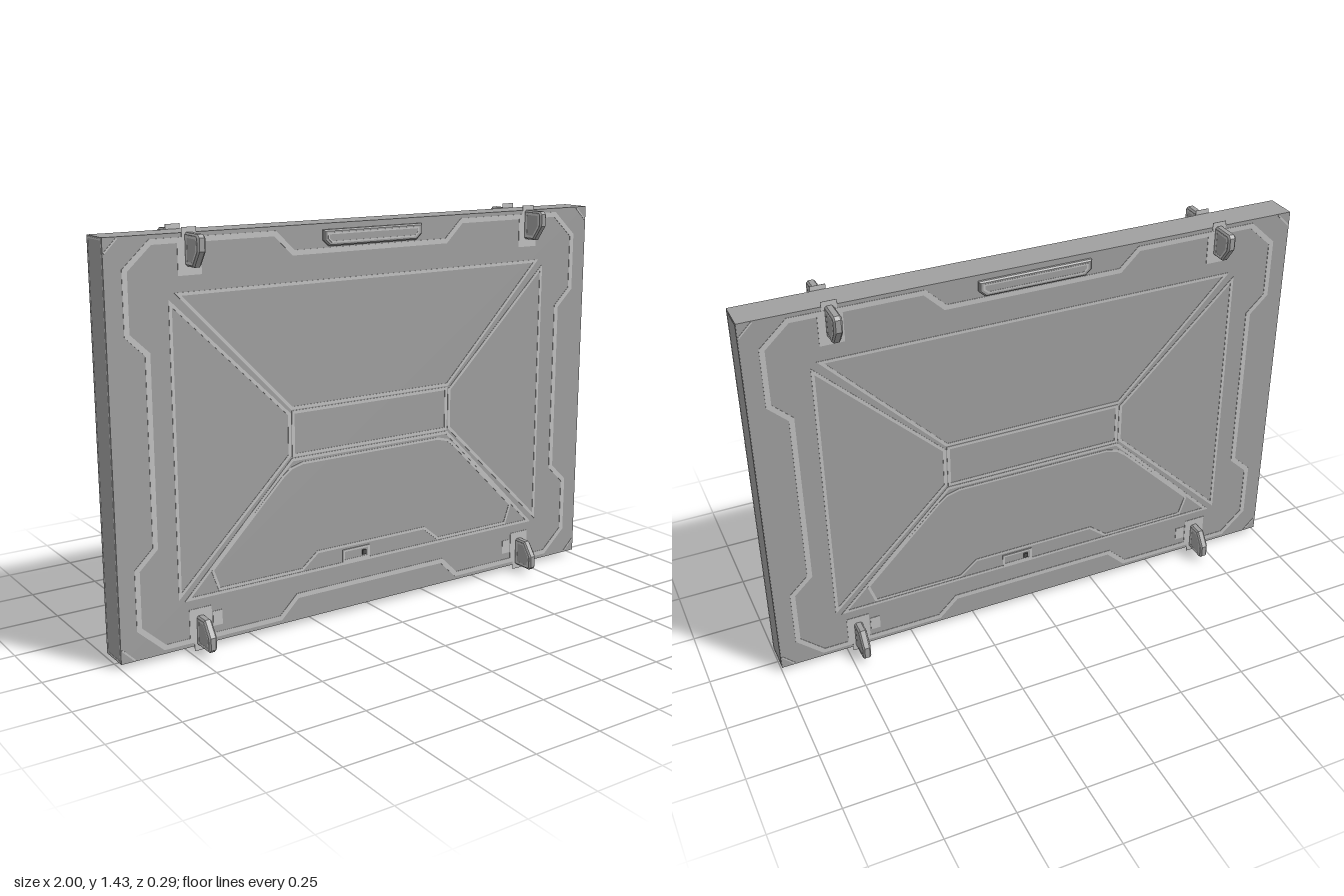
import * as THREE from 'three';

const body = new THREE.MeshStandardMaterial({ color: 0xa0a0a0 });
body.name = 'panel grey';
const trim = new THREE.MeshStandardMaterial({ color: 0xc2c2c2, side: THREE.DoubleSide });
trim.name = 'light trim grey';
const dark = new THREE.MeshStandardMaterial({ color: 0x505050 });
dark.name = 'dark grey';

const LOW = 0.018, HIGH = 1.416, MID = (LOW + HIGH) / 2, FACE = 0.0575;
const SKIN = 0.0015; // thickness of the painted plates

const toShape = (pts) => new THREE.Shape(pts.map(([x, y]) => new THREE.Vector2(x, y)));
const flipX = (pts) => pts.map(([x, y]) => [-x, y]);
const rect = (x0, x1, y0, y1) => [[x0, y0], [x1, y0], [x1, y1], [x0, y1]];

// Mitred offset of a polyline
function offset(pts, d, closed) {
  const n = pts.length;
  return pts.map((p, i) => {
    const prev = pts[closed ? (i + n - 1) % n : Math.max(i - 1, 0)];
    const next = pts[closed ? (i + 1) % n : Math.min(i + 1, n - 1)];
    const normal = (a, b) => new THREE.Vector2(a[1] - b[1], b[0] - a[0]).normalize();
    const a = prev === p ? normal(p, next) : normal(prev, p);
    const b = next === p ? a : normal(p, next);
    const m = a.clone().add(b).normalize();
    const k = d / Math.max(m.dot(a), 0.4);
    return [p[0] + m.x * k, p[1] + m.y * k];
  });
}

// Line of constant width along a polyline, as a shape
function stroke(pts, width, closed = true) {
  const a = offset(pts, width / 2, closed), b = offset(pts, -width / 2, closed);
  if (!closed) return toShape([...a, ...b.reverse()]);
  const area = (p) => Math.abs(THREE.ShapeUtils.area(p.map(([x, y]) => ({ x, y }))));
  const [outer, inner] = area(a) > area(b) ? [a, b] : [b, a];
  const shape = toShape(outer);
  shape.holes.push(toShape(inner));
  return shape;
}

function add(parent, name, geometry, material) {
  const mesh = new THREE.Mesh(geometry, material);
  mesh.name = name;
  parent.add(mesh);
  return mesh;
}

function plate(parent, name, shape, material = trim, z = FACE, depth = SKIN) {
  const mesh = add(parent, name, new THREE.ExtrudeGeometry(shape, { depth, bevelEnabled: false }), material);
  mesh.position.z = z;
  return mesh;
}

// Chamfered hook standing out from the face, outlined on both cheeks
function clip(parent, x, top) {
  const g = new THREE.Group();
  g.name = top ? 'upperClip' : 'lowerClip';
  const base = top ? HIGH : LOW, s = top ? -1 : 1;
  const profile = [[0.05, 0], [0.14, 0], [0.147, 0.007], [0.147, 0.058], [0.112, 0.107], [0.05, 0.107]]
    .map(([z, h]) => [z, base + s * h]);
  const bevel = 0.006, width = 0.03;
  const center = [0.1, base + s * 0.05];
  const inset = profile.map(([z, y]) => [z - Math.sign(z - center[0]) * bevel, y - Math.sign(y - center[1]) * bevel]);
  const geo = new THREE.ExtrudeGeometry(toShape(inset), {
    depth: width - 2 * bevel, bevelThickness: bevel, bevelSize: bevel, bevelSegments: 1,
  });
  const hook = add(g, 'hook', geo.translate(0, 0, -width / 2 + bevel), body);
  hook.rotation.y = -Math.PI / 2;
  const line = [[0.068, 0.012], [0.134, 0.012], [0.134, 0.056], [0.106, 0.095], [0.068, 0.095]]
    .map(([z, h]) => [z, base + s * h]);
  for (const side of [-1, 1]) {
    const cheek = plate(g, 'cheekOutline', stroke(line, 0.008), trim, 0, 0.001);
    cheek.rotation.y = -Math.PI / 2;
    cheek.position.set(side * width / 2 + 0.0005, 0, 0);
  }
  // Mounting pad and the tab that reaches past the slab edge
  plate(g, 'mountingPad', toShape(top ? rect(-0.042, 0.042, 1.28, 1.4) : rect(-0.042, 0.042, 0.035, 0.152)));
  plate(g, 'edgeTab', toShape(top ? rect(-0.026, 0.026, 1.39, 1.433) : rect(-0.026, 0.026, 0, 0.045)), trim, FACE, 0.001);
  g.position.x = x;
  parent.add(g);
}

function createFace() {
  const f = new THREE.Group();
  f.name = 'faceDetails';

  // Stepped outer border, one quarter mirrored to all four
  const quarter = [[0.32, 1.325], [0.39, 1.393], [0.84, 1.393], [0.93, 1.31], [0.93, 1.105], [0.862, 1.04]];
  const right = [...quarter, ...quarter.map(([x, y]) => [x, 2 * MID - y]).reverse()];
  plate(f, 'outerBorder', stroke([...right, ...flipX(right).reverse()], 0.018));

  // Outlined trapezoid panels around the centre plate
  const sidePanel = [[0.778, 1.195], [0.345, 0.775], [0.345, 0.63], [0.778, 0.207]];
  const panels = {
    topPanelOutline: [[-0.75, 1.222], [0.75, 1.222], [0.335, 0.795], [-0.335, 0.795]],
    leftPanelOutline: sidePanel,
    rightPanelOutline: flipX(sidePanel),
    bottomPanelOutline: [[-0.75, 0.19], [0.75, 0.19], [0.335, 0.612], [-0.335, 0.612]],
    centrePlateOutline: rect(-0.33, 0.33, 0.627, 0.78),
  };
  for (const [name, pts] of Object.entries(panels)) plate(f, name, stroke(pts, 0.011));

  // Inner arch and stepped sill of the bottom panel
  const arch = [[0.655, 0.275], [0.375, 0.555], [0.34, 0.582], [0.295, 0.594]];
  plate(f, 'bottomArch', stroke([...arch, ...flipX(arch).reverse()], 0.009, false));
  const sill = [[0.655, 0.275], [0.63, 0.203], [0.3, 0.203], [0.235, 0.256]];
  plate(f, 'bottomSill', stroke([...sill, ...flipX(sill).reverse()], 0.01, false));

  // Small raised latch with its dark button
  plate(f, 'latch', toShape(rect(-0.13, -0.012, 0.196, 0.242)), body, FACE, 0.003);
  plate(f, 'latchOutline', stroke(rect(-0.126, -0.016, 0.2, 0.238), 0.008), trim, FACE + 0.003, 0.001);
  plate(f, 'latchButton', toShape(rect(-0.047, -0.031, 0.21, 0.228)), dark, FACE, 0.009);

  // Handle bar with chamfered lower corners
  const bar = [[0.2, 1.39], [0.2, 1.362], [0.18, 1.344]];
  const outline = [...bar, ...flipX(bar).reverse()];
  const handle = new THREE.ExtrudeGeometry(toShape(outline), {
    depth: 0.008, bevelThickness: 0.005, bevelSize: 0.005, bevelSegments: 1,
  });
  add(f, 'handle', handle, body).position.z = FACE;
  const inner = [[0.188, 1.382], [0.188, 1.366], [0.173, 1.353]];
  plate(f, 'handleOutline', stroke([...inner, ...flipX(inner).reverse()], 0.006), trim, FACE + 0.013, 0.001);

  // Clips, corner lines and square markers
  for (const s of [-1, 1]) {
    clip(f, s * 0.705, true);
    clip(f, s * 0.705, false);
    plate(f, 'marker', toShape(rect(s * 0.64 - 0.018, s * 0.64 + 0.018, 0.075, 0.128)));
    for (const t of [-1, 1]) {
      const edge = MID + t * (HIGH - MID - 0.004);
      plate(f, 'cornerLine', stroke([[s * 0.995, edge - t * 0.045], [s * 0.95, edge]], 0.006, false));
    }
  }
  return f;
}

export function createModel() {
  const model = new THREE.Group();
  model.name = 'panelBarrier';

  // Main slab
  const slab = add(model, 'slab', new THREE.BoxGeometry(1.998, HIGH - LOW, 2 * FACE), body);
  slab.position.y = MID;

  // The same face details on the front and the back, and a thin frame on each end
  for (const [i, name] of ['front', 'back'].entries()) {
    const face = createFace();
    face.name = name + 'Face';
    face.rotation.y = i * Math.PI;
    model.add(face);
    const end = new THREE.Group();
    end.name = i ? 'rightEnd' : 'leftEnd';
    plate(end, 'endFrame', stroke(rect(-0.051, 0.051, LOW + 0.007, HIGH - 0.007), 0.005), trim, 0.999, 0.001);
    end.rotation.y = Math.PI / 2 + i * Math.PI;
    model.add(end);
  }
  return model;
}
